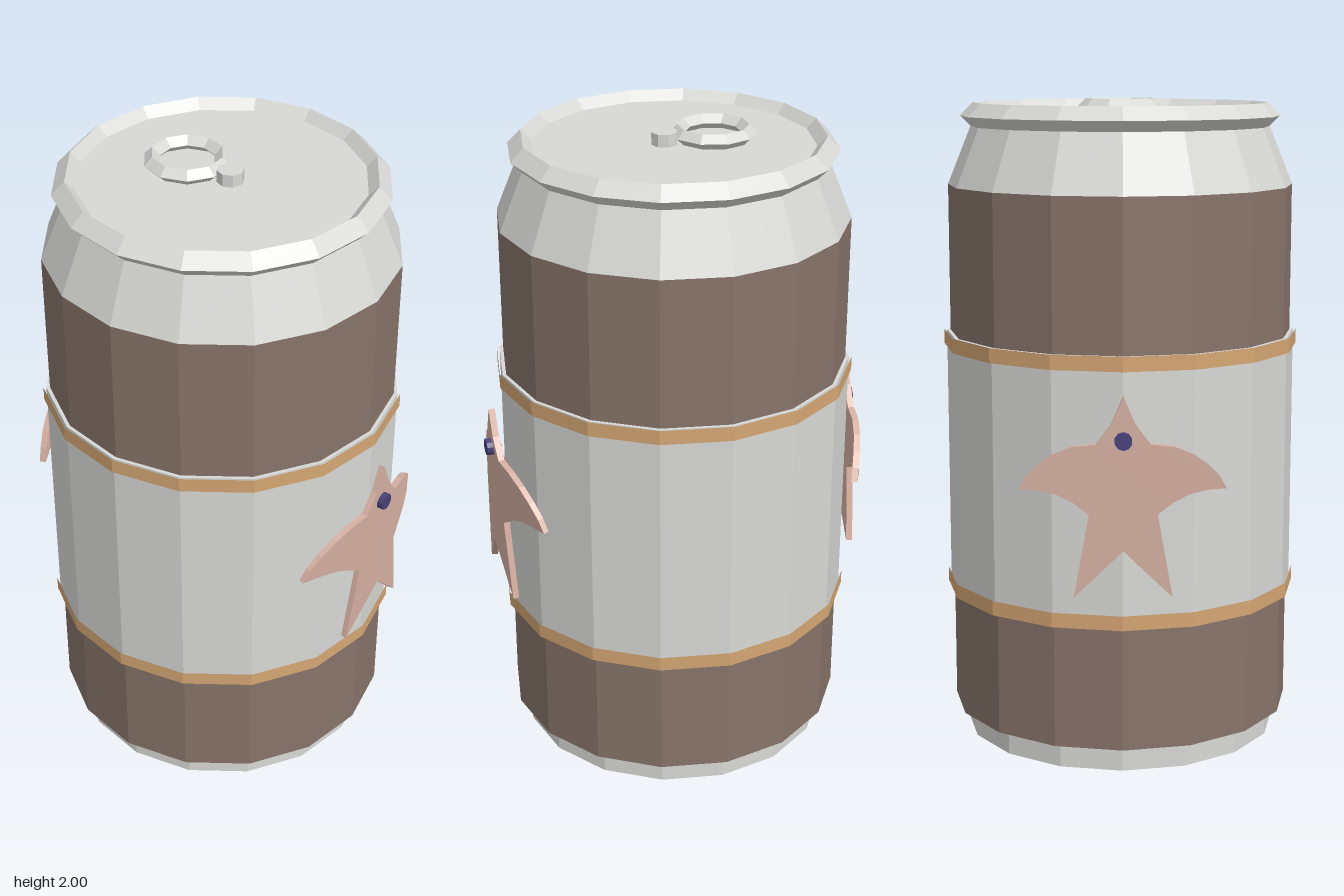
import * as THREE from 'three';

const SIDES = 16;

function material(name, color) {
  const m = new THREE.MeshStandardMaterial({ color });
  m.name = name;
  return m;
}

// Faceted look: one normal per face
function faceted(geometry) {
  const g = geometry.index ? geometry.toNonIndexed() : geometry;
  g.computeVertexNormals();
  return g;
}

export function createModel() {
  const metal = material('silver metal', 0xd8d8d5);
  const brown = material('brown', 0x88746a);
  const gold = material('gold', 0xd4a673);
  const pink = material('dusty pink', 0xd6b0a2);
  const purple = material('dark purple', 0x48417a);

  const group = new THREE.Group();
  group.name = 'drinkCan';

  function add(name, geometry, mat, parent = group) {
    const mesh = new THREE.Mesh(geometry, mat);
    mesh.name = name;
    parent.add(mesh);
    return mesh;
  }

  // Upright faceted drum between two heights
  function drum(name, y0, y1, rBottom, rTop, mat, sides = SIDES, open = false) {
    const g = new THREE.CylinderGeometry(rTop, rBottom, y1 - y0, sides, 1, open);
    g.translate(0, (y0 + y1) / 2, 0);
    return add(name, faceted(g), mat);
  }

  // Lying ring with a diamond cross-section
  function ring(name, radius, tube, y, sides) {
    const g = new THREE.TorusGeometry(radius, tube, 4, sides);
    g.rotateX(-Math.PI / 2);
    g.translate(0, y, 0);
    return add(name, faceted(g), metal);
  }

  // Body
  drum('base', 0, 0.1, 0.495, 0.495, metal);
  drum('lowerBody', 0.08, 0.47, 0.535, 0.535, brown);
  drum('label', 0.462, 1.278, 0.546, 0.546, metal);
  drum('upperBody', 1.27, 1.735, 0.535, 0.535, brown);
  drum('lowerBand', 0.46, 0.505, 0.555, 0.555, gold, SIDES, true);
  drum('upperBand', 1.235, 1.28, 0.555, 0.555, gold, SIDES, true);

  // Top
  drum('neck', 1.735, 1.915, 0.535, 0.462, metal);
  drum('lid', 1.91, 1.955, 0.44, 0.44, metal);
  ring('rim', 0.455, 0.04, 1.945, SIDES);
  ring('pullRing', 0.107, 0.024, 1.976, 10).position.z = -0.125;
  drum('rivet', 1.95, 1.993, 0.04, 0.04, metal, 8).position.z = 0.028;

  // Bird emblem: half outline from beak to tail notch, mirrored
  const half = [
    [0, 1.17], [0.035, 1.09], [0.08, 1.03], [0.15, 1.02], [0.205, 0.995],
    [0.25, 0.96], [0.285, 0.92], [0.305, 0.882], [0.25, 0.885],
    [0.195, 0.877], [0.145, 0.855], [0.1, 0.822], [0.145, 0.57], [0, 0.715],
  ];
  const mirrored = half.slice(1, -1).reverse().map(([x, y]) => [-x, y]);
  const shape = new THREE.Shape([...half, ...mirrored].map(([x, y]) => new THREE.Vector2(x, y)));
  const outer = 0.595;
  const thickness = 0.02;
  const bird = new THREE.ExtrudeGeometry(shape, { depth: thickness, bevelEnabled: false });

  // Wrap the flat emblem around the can
  const p = bird.attributes.position;
  for (let i = 0; i < p.count; i++) {
    const angle = Math.asin(p.getX(i) / outer);
    const r = outer - thickness + p.getZ(i);
    p.setX(i, r * Math.sin(angle));
    p.setZ(i, r * Math.cos(angle));
  }

  const eye = new THREE.CylinderGeometry(0.026, 0.026, 0.035, 10);
  eye.rotateX(Math.PI / 2);
  eye.translate(0, 1.042, 0.592);
  const eyeGeometry = faceted(eye);

  // One emblem on the front, one on the back
  ['frontEmblem', 'backEmblem'].forEach((name, i) => {
    const emblem = new THREE.Group();
    emblem.name = name;
    emblem.rotation.y = i * Math.PI;
    add('bird', bird, pink, emblem);
    add('eye', eyeGeometry, purple, emblem);
    group.add(emblem);
  });

  return group;
}
